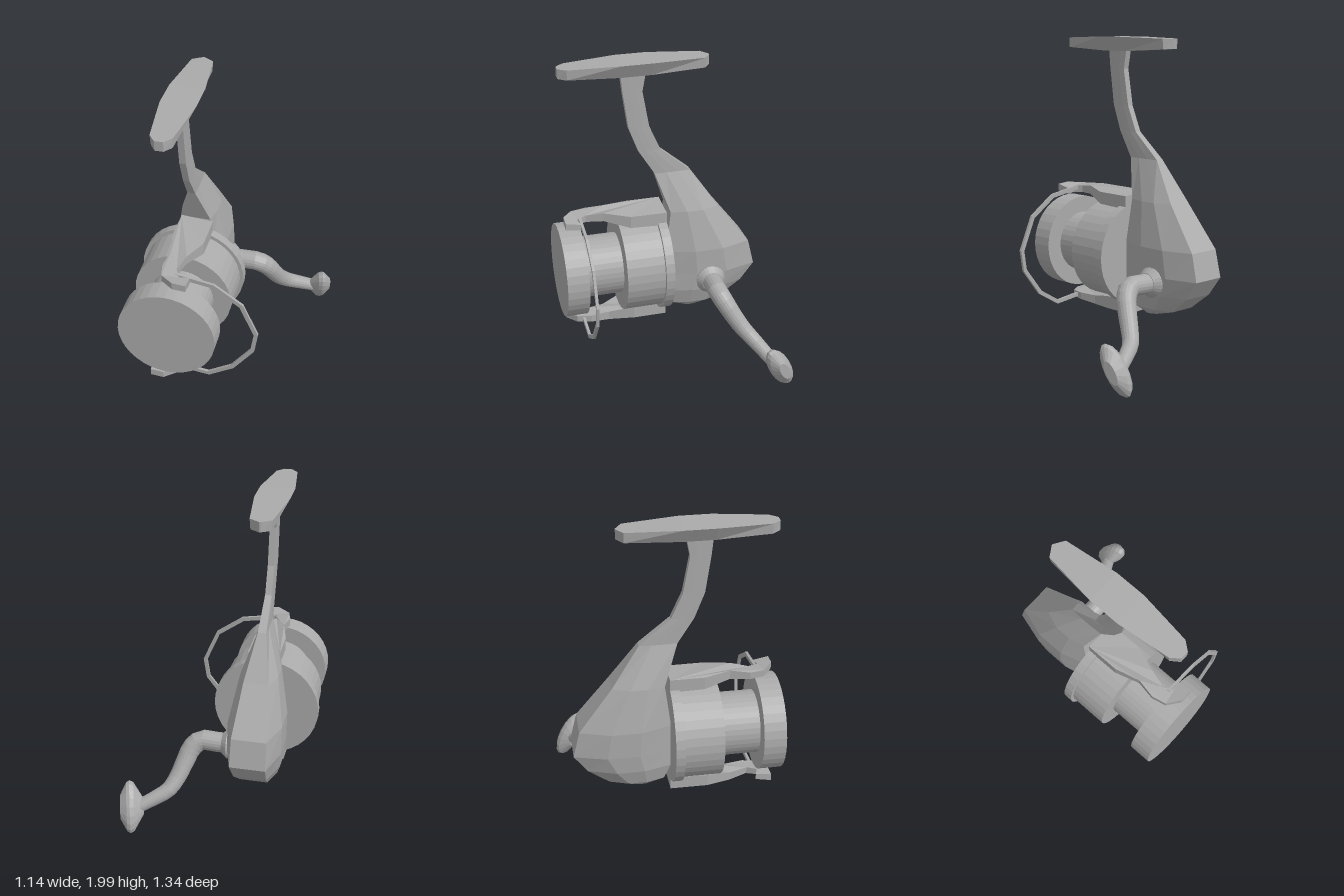
import * as THREE from 'three';

const AXIS_X = -0.24, AXIS_Y = 0.64;

// Skin a closed solid over rings of equal point count, facing outward
function loft(rings) {
  const n = rings[0].length, pos = rings.flat(2), idx = [];
  for (let i = 0; i < rings.length - 1; i++) {
    for (let j = 0; j < n; j++) {
      const k = (j + 1) % n, a = i * n + j, b = i * n + k;
      idx.push(a, b, b + n, a, b + n, a + n);
    }
  }
  const last = (rings.length - 1) * n;
  for (let j = 1; j < n - 1; j++) idx.push(0, j + 1, j, last, last + j, last + j + 1);
  // Flip the winding when the enclosed volume comes out negative
  const p = (i) => new THREE.Vector3().fromArray(pos, i * 3);
  let volume = 0;
  for (let i = 0; i < idx.length; i += 3) volume += p(idx[i]).dot(p(idx[i + 1]).cross(p(idx[i + 2])));
  if (volume < 0) idx.reverse();
  const g = new THREE.BufferGeometry();
  g.setAttribute('position', new THREE.Float32BufferAttribute(pos, 3));
  g.setIndex(idx);
  g.computeVertexNormals();
  return g;
}

// Linear lookup in a list of [key, ...values]
function sample(table, key, column) {
  for (let i = 1; i < table.length; i++) {
    const a = table[i - 1], b = table[i];
    if (key <= b[0] || i === table.length - 1) {
      const t = THREE.MathUtils.clamp((key - a[0]) / (b[0] - a[0]), 0, 1);
      return THREE.MathUtils.lerp(a[column], b[column], t);
    }
  }
}

export function createModel() {
  const model = new THREE.Group();
  const grey = new THREE.MeshStandardMaterial({ color: 0xaaaaaa, flatShading: true });
  grey.name = 'grey';
  const add = (name, geometry, parent = model) => {
    const mesh = new THREE.Mesh(geometry, grey);
    mesh.name = name;
    parent.add(mesh);
    return mesh;
  };

  // Gear housing and stem: y, front z, back z, half widths at front, middle, back
  const bodyRows = [
    [0.29, -0.13, -0.23, 0.06, 0.08, 0.06],
    [0.335, -0.05, -0.39, 0.095, 0.125, 0.085],
    [0.44, -0.01, -0.52, 0.11, 0.155, 0.1],
    [0.56, -0.01, -0.605, 0.11, 0.165, 0.108],
    [0.73, -0.01, -0.565, 0.11, 0.165, 0.105],
    [1.0, -0.045, -0.36, 0.095, 0.115, 0.075],
    [1.25, 0.04, -0.19, 0.025, 0.028, 0.025],
    [1.41, 0.14, 0, 0.02, 0.023, 0.02],
    [1.57, 0.2, 0.07, 0.02, 0.022, 0.02],
    [1.8, 0.232, 0.11, 0.02, 0.022, 0.02],
    [1.93, 0.245, 0.085, 0.02, 0.022, 0.02],
  ];
  add('housingAndStem', loft(bodyRows.map(([y, zf, zb, hf, hm, hb]) => {
    const z1 = zf + (zb - zf) * 0.33, z2 = zf + (zb - zf) * 0.66;
    const half = [[hf, zf], [hm, z1], [hm, z2], [hb, zb]];
    return [
      ...half.map(([h, z]) => [AXIS_X + h, y, z]),
      ...half.reverse().map(([h, z]) => [AXIS_X - h, y, z]),
    ];
  })));

  // Mounting foot: z, top half width, bottom half width, bottom y, top y
  const footRows = [
    [-0.31, 0.004, 0.004, 1.93, 1.99],
    [-0.27, 0.065, 0.06, 1.928, 1.991],
    [0.06, 0.105, 0.058, 1.912, 2],
    [0.25, 0.105, 0.058, 1.912, 2],
    [0.57, 0.065, 0.06, 1.928, 1.991],
    [0.62, 0.025, 0.025, 1.93, 1.99],
  ];
  add('mountingFoot', loft(footRows.map(([z, ht, hb, yb, yt]) => [
    [AXIS_X - ht, yt, z], [AXIS_X + ht, yt, z], [AXIS_X + hb, yb, z], [AXIS_X - hb, yb, z],
  ])));

  // Rotor flange, drum, spool core and front lip turned around the z axis
  const spoolProfile = [
    [0, -0.012], [0.33, -0.012], [0.33, 0.045], [0.307, 0.045], [0.307, 0.287],
    [0.196, 0.287], [0.196, 0.527], [0.3, 0.527], [0.3, 0.665], [0, 0.665],
  ].map(([r, z]) => new THREE.Vector2(r, z));
  const spool = add('spool', new THREE.LatheGeometry(spoolProfile, 36).rotateX(Math.PI / 2));
  spool.position.set(AXIS_X, AXIS_Y, 0);

  // Hooked bail arm: outline in x and z, with heights varying along z
  const armOutline = [
    [-0.12, -0.012], [-0.12, 0.22], [-0.18, 0.38], [-0.21, 0.49], [-0.18, 0.55], [-0.12, 0.53],
    [-0.12, 0.63], [-0.2, 0.63], [-0.28, 0.57], [-0.3, 0.48], [-0.28, 0.36], [-0.32, 0.2], [-0.32, -0.012],
  ].map(([x, z]) => new THREE.Vector2(x - AXIS_X, -z));
  const armHeights = [
    [-0.012, 0.94, 1.025], [0.2, 0.945, 1.025], [0.38, 0.985, 1.04],
    [0.53, 0.975, 1.015], [0.63, 0.99, 1.035],
  ];
  const armGeometry = new THREE.ExtrudeGeometry(new THREE.Shape(armOutline), { depth: 1, bevelEnabled: false })
    .rotateX(-Math.PI / 2);
  const armPos = armGeometry.attributes.position;
  for (let i = 0; i < armPos.count; i++) {
    const z = armPos.getZ(i), top = armPos.getY(i) > 0.5;
    // Lower the +x edge slightly so the arm follows the drum
    const lean = -0.08 * armPos.getX(i);
    armPos.setY(i, sample(armHeights, z, top ? 2 : 1) - AXIS_Y + lean);
  }
  armGeometry.computeVertexNormals();
  ['upperBailArm', 'lowerBailArm'].forEach((name, i) => {
    const arm = add(name, armGeometry);
    arm.position.set(AXIS_X, AXIS_Y, 0);
    arm.rotation.z = i * Math.PI;
  });

  // Bail wire: angular hoop joining the two arm tips
  const wirePath = [
    [-0.21, 1.01], [-0.13, 0.995], [0.02, 0.97], [0.19, 0.85], [0.28, 0.64],
    [0.26, 0.51], [0.135, 0.345], [-0.015, 0.255], [-0.18, 0.275], [-0.26, 0.28],
  ];
  add('bailWire', loft(wirePath.map(([x, y], i) => {
    const a = wirePath[Math.max(i - 1, 0)], b = wirePath[Math.min(i + 1, wirePath.length - 1)];
    const length = Math.hypot(b[0] - a[0], b[1] - a[1]);
    const nx = -(b[1] - a[1]) / length * 0.013, ny = (b[0] - a[0]) / length * 0.013;
    return [
      [x + nx, y + ny, 0.52], [x + nx, y + ny, 0.537],
      [x - nx, y - ny, 0.537], [x - nx, y - ny, 0.52],
    ];
  })));

  // Crank handle
  const handle = new THREE.Group();
  handle.name = 'handle';
  model.add(handle);

  const collar = add('handleCollar', new THREE.CylinderGeometry(0.065, 0.095, 0.035, 24), handle);
  collar.rotation.z = -Math.PI / 2;
  collar.position.set(-0.043, 0.52, -0.29);
  const collarBase = add('handleCollarBase', new THREE.CylinderGeometry(0.095, 0.085, 0.03, 24), handle);
  collarBase.rotation.z = -Math.PI / 2;
  collarBase.position.set(-0.075, 0.52, -0.29);

  const crankPath = new THREE.CatmullRomCurve3([
    [-0.08, 0.52, -0.29], [0.02, 0.52, -0.29], [0.11, 0.52, -0.29], [0.165, 0.475, -0.315],
    [0.2, 0.395, -0.36], [0.235, 0.31, -0.415], [0.28, 0.245, -0.47], [0.35, 0.205, -0.51], [0.45, 0.155, -0.56],
  ].map((p) => new THREE.Vector3(...p)), false, 'centripetal');
  const segments = 18, sides = 20;
  const crankGeometry = new THREE.TubeGeometry(crankPath, segments, 0.062, sides);
  const crankPos = crankGeometry.attributes.position, v = new THREE.Vector3();
  for (let i = 0; i < crankPos.count; i++) {
    // Taper toward the knob
    const t = Math.floor(i / (sides + 1)) / segments;
    v.fromBufferAttribute(crankPos, i).lerp(crankPath.getPointAt(t), 0.35 * Math.max(0, t - 0.3) / 0.7);
    crankPos.setXYZ(i, v.x, v.y, v.z);
  }
  add('crank', crankGeometry, handle);

  // Oval knob, turned then flattened across its tilted long axis
  const knobProfile = [[0, -0.075], [0.3, -0.075], [0.92, -0.015], [1, 0.01], [0.92, 0.03], [0.45, 0.07], [0, 0.07]]
    .map(([r, h]) => new THREE.Vector2(r, h));
  const along = new THREE.Vector3(0.96, 0, -0.28).normalize();
  const long = new THREE.Vector3(0.12, 0.87, 0.49);
  long.addScaledVector(along, -long.dot(along)).normalize();
  const wide = new THREE.Vector3().crossVectors(long, along);
  const knobGeometry = new THREE.LatheGeometry(knobProfile, 18)
    .scale(0.165, 1, 0.07)
    .applyMatrix4(new THREE.Matrix4().makeBasis(long, along, wide.negate().negate()));
  const knob = add('knob', knobGeometry, handle);
  knob.position.set(0.49, 0.158, -0.574);

  return model;
}
